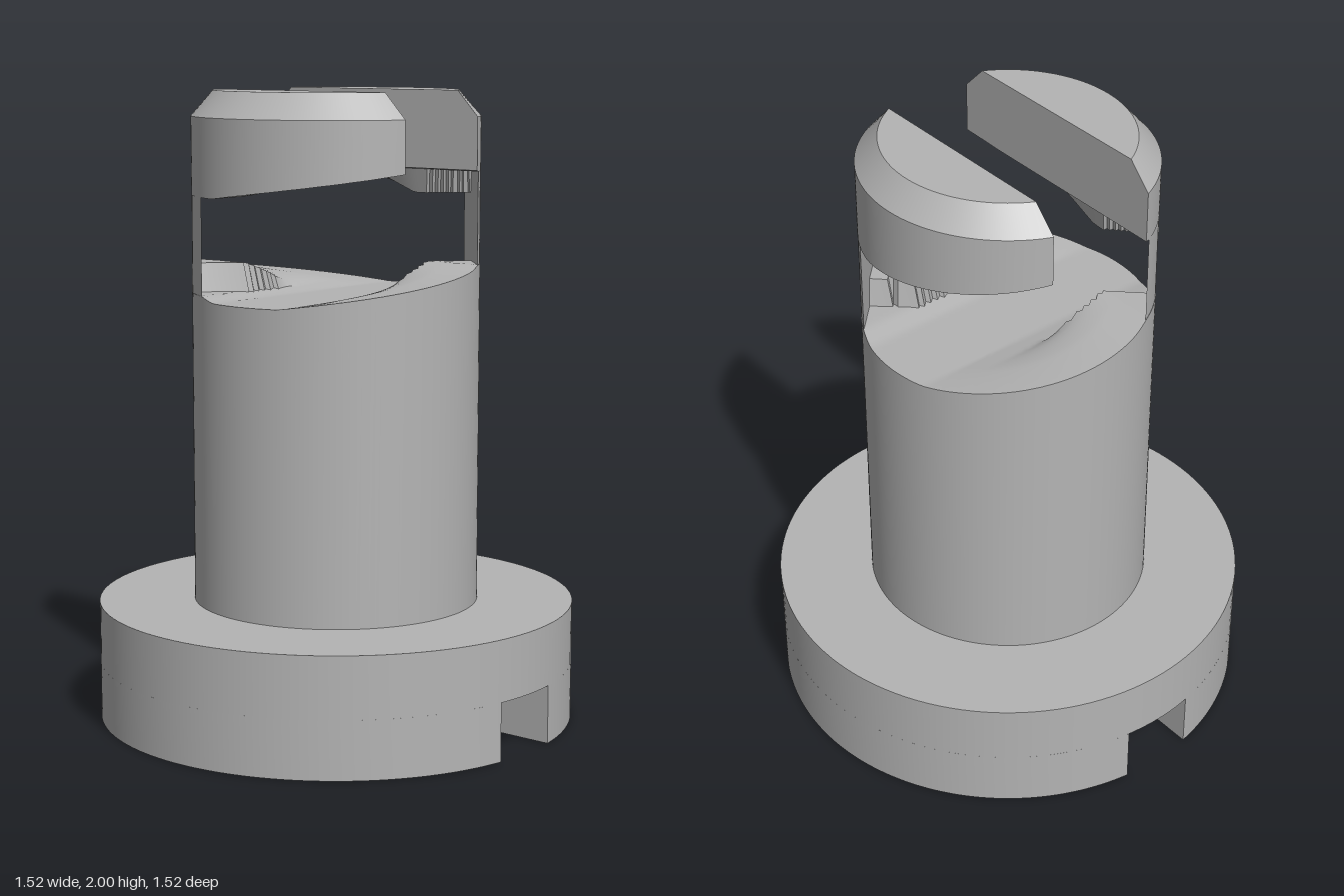
import * as THREE from 'three';
import { toCreasedNormals } from 'three/addons/utils/BufferGeometryUtils.js';

const R = 0.455;        // shaft radius
const BASE_R = 0.76;    // foot radius
const HALF = 0.2;       // half width of the bayonet channel
const SLOT = 0.18;      // half width of the slot between the heads

// Height of the channel swept through a rising quarter turn:
// side = 1 gives its floor, side = -1 its ceiling, at plan position x, z.
function channel(x, z, side) {
  const start = side > 0 ? 1.355 : 1.675;
  let best = null;
  for (let deg = 0; deg <= 90; deg++) {
    const a = THREE.MathUtils.degToRad(deg);
    const d = Math.abs(x * Math.cos(a) - z * Math.sin(a));
    if (d > HALF + 1e-6) continue;
    const h = start + deg * 0.001 + side * Math.max(0, d - 0.13) * 0.21;
    if (best === null || side * h < side * best) best = h;
  }
  // under a post: continue the nearer channel edge
  if (best === null) best = start + side * 0.015 + (Math.abs(x) > Math.abs(z) ? 0.09 : 0);
  return side < 0 ? Math.max(best, start) : best;
}

// Skin a row of equally long cross-sections
function skin(columns) {
  const n = columns[0].length, index = [];
  for (let i = 0; i < columns.length - 1; i++) {
    for (let j = 0; j < n - 1; j++) {
      const a = i * n + j, b = a + n;
      index.push(a, b, b + 1, a, b + 1, a + 1);
    }
  }
  const g = new THREE.BufferGeometry();
  g.setAttribute('position', new THREE.Float32BufferAttribute(columns.flat(2), 3));
  g.setIndex(index);
  return toCreasedNormals(g, 0.5);
}

// Upright prism from a plan outline
function prism(shape, y0, y1) {
  const g = new THREE.ExtrudeGeometry(shape, { depth: y1 - y0, bevelEnabled: false, curveSegments: 64 });
  g.rotateX(-Math.PI / 2).translate(0, y0, 0);
  return toCreasedNormals(g, 0.5);
}

// Shaft wall closed by the ramped channel floor
function shaftGeometry() {
  const columns = [], around = 144, rings = 28;
  for (let i = 0; i <= around; i++) {
    const a = (i / around) * Math.PI * 2, s = Math.sin(a), c = Math.cos(a);
    const column = [[R * s, 0.37, R * c]];
    for (let k = rings; k >= 0; k--) {
      const r = (R * k) / rings;
      column.push([r * s, channel(r * s, r * c, 1), r * c]);
    }
    columns.push(column);
  }
  return skin(columns);
}

// Front half of the chamfered head, with the ramped underside
function headGeometry() {
  const columns = [], steps = 72, across = 16, topR = 0.385;
  for (let i = 0; i <= steps; i++) {
    const t = (i / steps) * 2 - 1;
    const a = t * Math.acos(SLOT / R), b = t * Math.acos(SLOT / topR);
    const x = R * Math.sin(a), z = R * Math.cos(a), topX = topR * Math.sin(b);
    const column = [];
    for (let k = 0; k <= across; k++) {
      const zk = THREE.MathUtils.lerp(SLOT, z, k / across);
      column.push([x, channel(x, zk, -1), zk]);
    }
    column.push([x, 1.92, z], [topX, 2, topR * Math.cos(b)], [topX, 2, SLOT], [x, 1.92, SLOT], column[0]);
    columns.push(column);
  }
  return skin(columns);
}

// Post outline: the corner left standing beside the channel
function postShape() {
  const r = R - 0.001, a = Math.asin(HALF / r);
  const s = new THREE.Shape();
  s.moveTo(-HALF, -HALF);
  s.absarc(0, 0, r, Math.PI + a, Math.PI * 1.5 - a, false);
  s.closePath();
  return s;
}

// Half of the foot beside the driver slot
function footShape() {
  const a = Math.asin(0.123 / BASE_R);
  const s = new THREE.Shape();
  s.absarc(0, 0, BASE_R, Math.PI + a, Math.PI * 2 - a, false);
  s.closePath();
  return s;
}

export function createModel() {
  const model = new THREE.Group();
  model.name = 'quarterTurnStud';
  const grey = new THREE.MeshStandardMaterial({ color: 0xb4b4b4 });
  grey.name = 'grey';

  const add = (name, geometry, turn = 0) => {
    const mesh = new THREE.Mesh(geometry, grey);
    mesh.name = name;
    mesh.rotation.y = turn;
    model.add(mesh);
    return mesh;
  };

  add('footDisc', new THREE.CylinderGeometry(BASE_R, BASE_R, 0.195, 128)).position.y = 0.2825;
  add('shaft', shaftGeometry());

  // parts repeated by a half turn
  const foot = prism(footShape(), 0, 0.185);
  const post = prism(postShape(), 1.35, 1.8);
  const head = headGeometry();
  [['front', 0], ['back', Math.PI]].forEach(([side, turn]) => {
    add(side + 'Foot', foot, turn);
    add(side + 'Post', post, turn);
    add(side + 'Head', head, turn);
  });
  return model;
}
